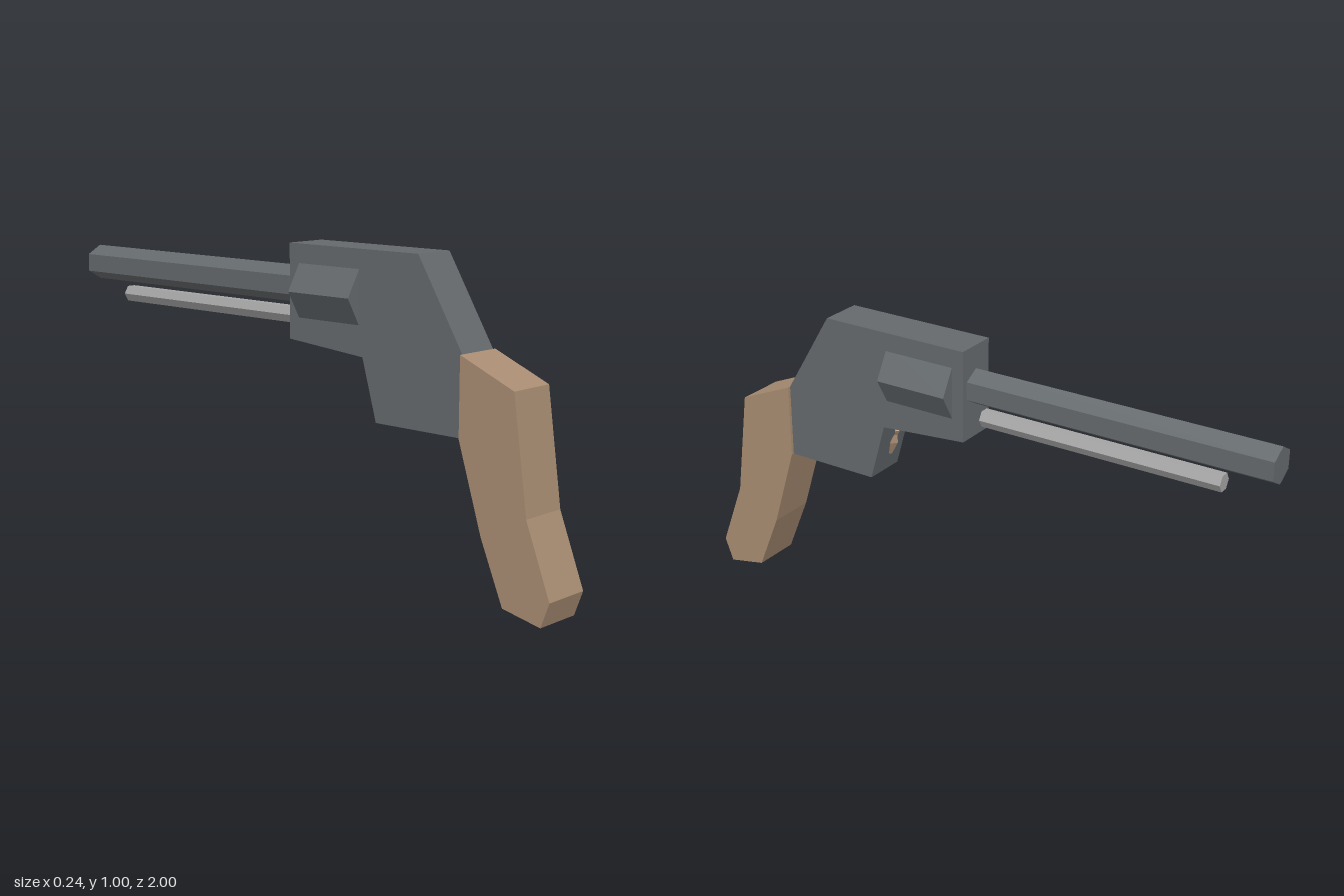
import * as THREE from 'three';

const material = (name, color) => {
  const m = new THREE.MeshStandardMaterial({ color });
  m.name = name;
  return m;
};

// Hard-edged faces
function faceted(geometry) {
  const g = geometry.index ? geometry.toNonIndexed() : geometry;
  g.computeVertexNormals();
  return g;
}

// Side outline given as (z, y) points, extruded across x
function plate(outline, width) {
  const shape = new THREE.Shape(outline.map(([z, y]) => new THREE.Vector2(z, y)));
  const g = new THREE.ExtrudeGeometry(shape, { depth: width, bevelEnabled: false });
  g.translate(0, 0, -width / 2);
  g.rotateY(-Math.PI / 2);
  return faceted(g);
}

// Hexagonal bar along z; turn = 0 puts a corner on top
function hexBar(radius, y, z0, z1, turn) {
  const g = new THREE.CylinderGeometry(radius, radius, Math.abs(z1 - z0), 6, 1, false, turn);
  g.rotateX(Math.PI / 2);
  g.translate(0, y, (z0 + z1) / 2);
  return faceted(g);
}

// Small four-sided trigger with a pinched waist, slanting backwards
function triggerGeometry() {
  const profile = [[0, 0.552], [0.008, 0.556], [0.02, 0.6], [0.007, 0.628], [0.014, 0.645], [0, 0.652]]
    .map(([r, y]) => new THREE.Vector2(r, y));
  const g = new THREE.LatheGeometry(profile, 4);
  const p = g.attributes.position;
  for (let i = 0; i < p.count; i++) {
    p.setZ(i, p.getZ(i) * 0.75 + 0.297 + (0.65 - p.getY(i)) * 0.34);
  }
  return faceted(g);
}

export function createModel() {
  const group = new THREE.Group();
  const steel = material('dark steel', 0x64696c);
  const silver = material('light steel', 0xa3a3a3);
  const wood = material('wood', 0xa88c72);

  const add = (name, geometry, mat) => {
    const mesh = new THREE.Mesh(geometry, mat);
    mesh.name = name;
    group.add(mesh);
  };

  add('frame', plate([
    [0, 1], [0, 0.705], [0.3, 0.68], [0.355, 0.49],
    [0.675, 0.49], [0.675, 0.73], [0.51, 1],
  ], 0.14), steel);

  add('grip', plate([
    [0.675, 0.73], [0.675, 0.49], [0.76, 0.22], [0.84, 0.03],
    [0.972, 0.003], [1, 0.08], [0.915, 0.3], [0.865, 0.65],
  ], 0.16), wood);

  add('drum', hexBar(0.118, 0.857, 0.04, 0.285, Math.PI / 6), steel);
  add('barrel', hexBar(0.058, 0.867, -1, 0, 0), steel);
  add('ejectorRod', hexBar(0.029, 0.77, -0.835, -0.03, Math.PI / 6), silver);
  add('trigger', triggerGeometry(), wood);

  return group;
}
